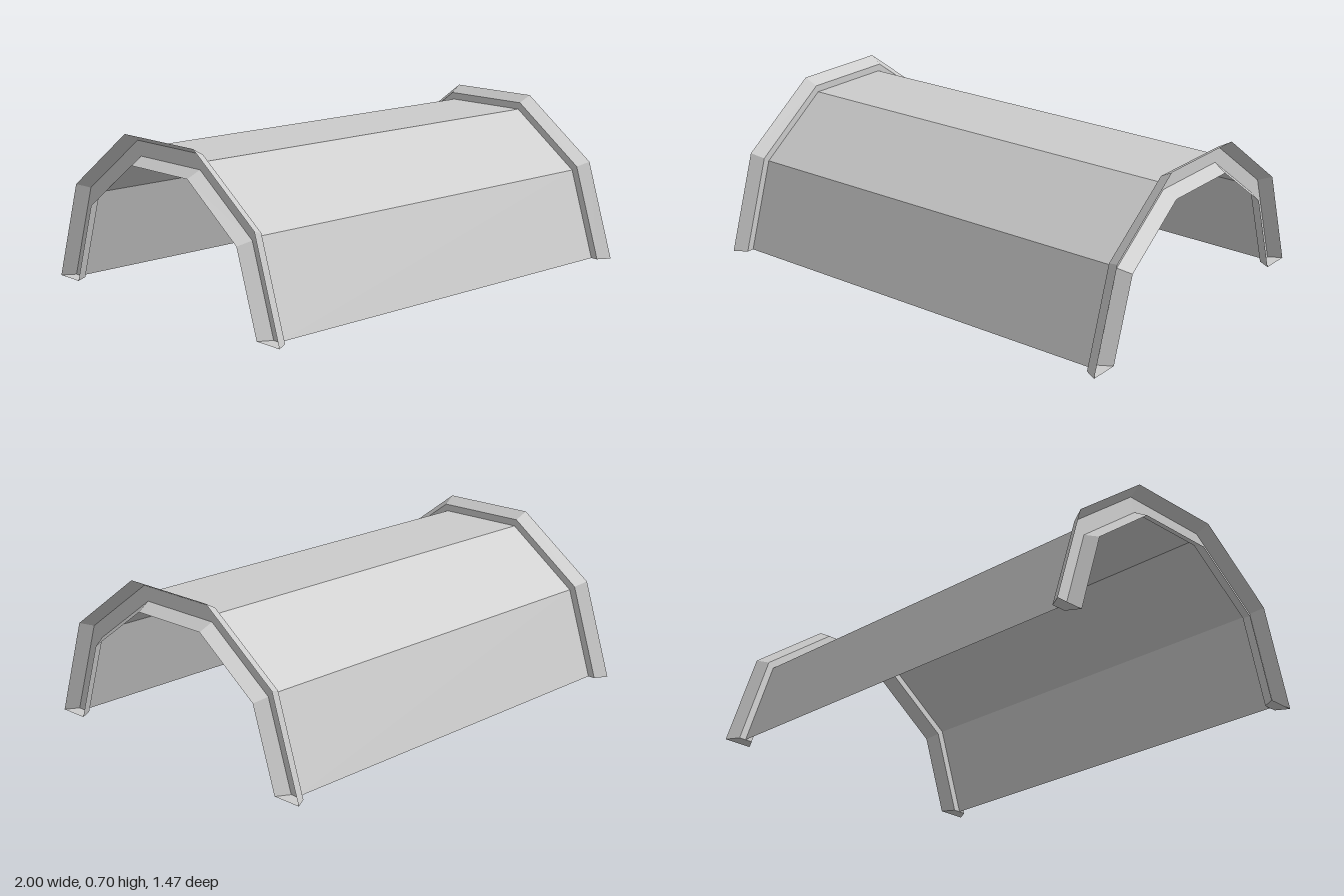
import * as THREE from 'three';

const material = new THREE.MeshStandardMaterial({
  color: 0xcccccc, flatShading: true, side: THREE.DoubleSide,
});

// Sweeps [x, radius] points over a five-sided half arch whose axis runs along x
function arch(profile, name) {
  const points = profile.map(([x, r]) => new THREE.Vector2(r, -x));
  const geometry = new THREE.LatheGeometry(points, 5, 0, Math.PI).rotateZ(Math.PI / 2);
  const mesh = new THREE.Mesh(geometry, material);
  mesh.name = name;
  return mesh;
}

// Flat plate closing the foot of a rim at ground level
function footPlate(profile, side) {
  const shape = new THREE.Shape(profile.map(([x, r]) => new THREE.Vector2(x, r * side)));
  const mesh = new THREE.Mesh(new THREE.ShapeGeometry(shape).rotateX(Math.PI / 2), material);
  mesh.name = side > 0 ? 'frontFoot' : 'backFoot';
  return mesh;
}

export function createModel() {
  const model = new THREE.Group();
  model.name = 'archedShelter';

  // Thin roof sheet
  model.add(arch([[0.943, 0.667], [-0.943, 0.667]], 'roofShell'));

  // Flared channel rim at each end, open towards the outside
  for (const s of [1, -1]) {
    const channel = [[s, 0.733], [0.943 * s, 0.7], [0.943 * s, 0.633], [s, 0.6]];
    if (s < 0) channel.reverse();
    const rim = new THREE.Group();
    rim.name = s > 0 ? 'leftRim' : 'rightRim';
    rim.add(arch(channel, 'rimChannel'), footPlate(channel, 1), footPlate(channel, -1));
    model.add(rim);
  }
  return model;
}
